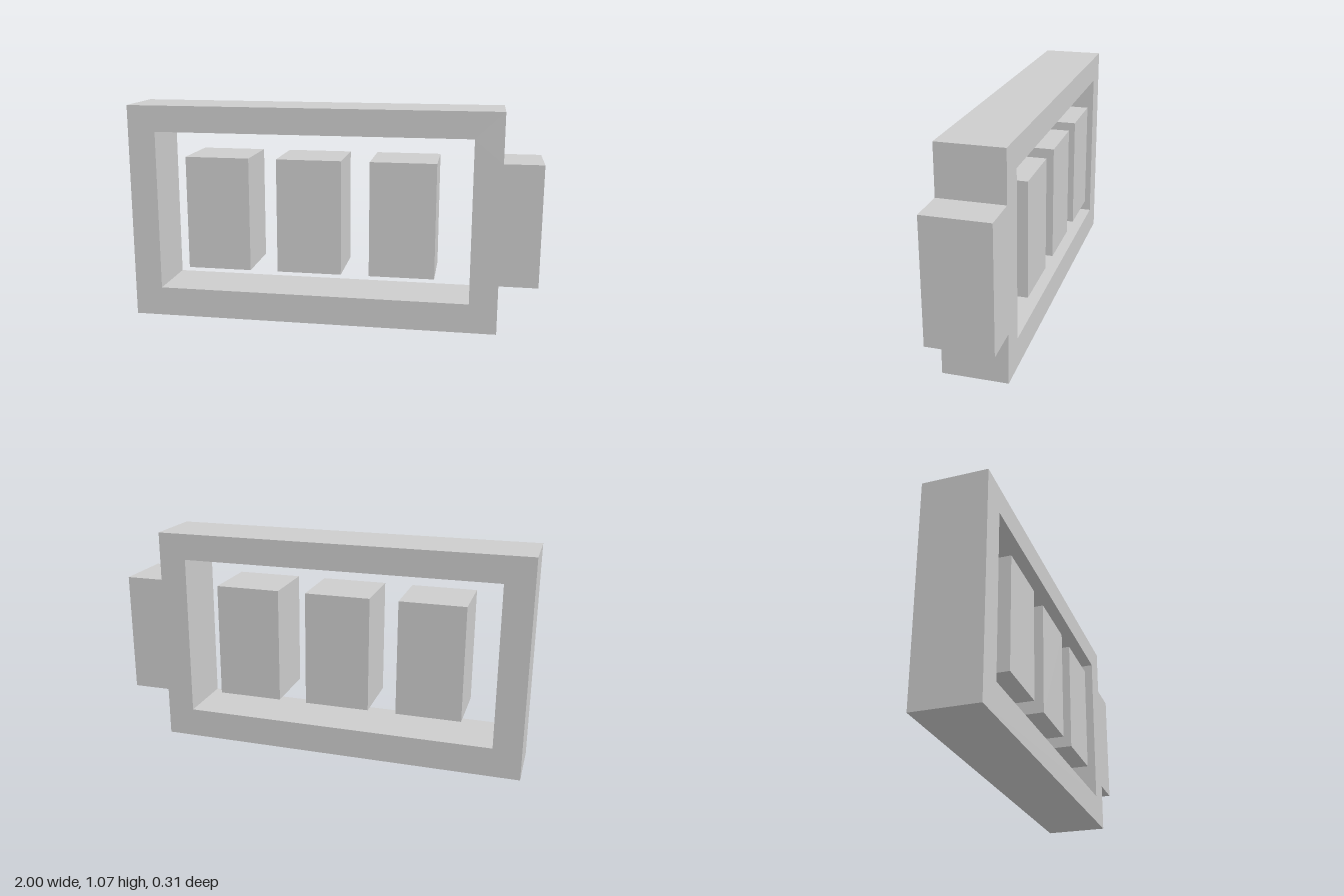
import * as THREE from 'three';

const DEPTH = 0.306;

export function createModel() {
  const group = new THREE.Group();
  const grey = new THREE.MeshStandardMaterial({ color: 0xcccccc });
  grey.name = 'light grey';

  const points = (list) => list.map(([x, y]) => new THREE.Vector2(x, y));

  // Battery casing with terminal nub, extruded around a rectangular window
  const outline = new THREE.Shape(points([
    [-1, 0], [0.815, 0], [0.815, 0.243], [1, 0.243],
    [1, 0.829], [0.815, 0.829], [0.815, 1.068], [-1, 1.068],
  ]));
  outline.holes.push(new THREE.Path(points([
    [-0.863, 0.145], [-0.863, 0.94], [0.68, 0.94], [0.68, 0.145],
  ])));
  const casingGeometry = new THREE.ExtrudeGeometry(outline, { depth: DEPTH, bevelEnabled: false });
  casingGeometry.translate(0, 0, -DEPTH / 2);
  const casing = new THREE.Mesh(casingGeometry, grey);
  casing.name = 'casing';
  group.add(casing);

  // Three charge bars floating in the window
  const barGeometry = new THREE.BoxGeometry(0.316, 0.56, DEPTH);
  for (let i = 0; i < 3; i++) {
    const bar = new THREE.Mesh(barGeometry, grey);
    bar.name = `chargeBar${i + 1}`;
    bar.position.set(-0.552 + i * 0.453, 0.541, 0);
    group.add(bar);
  }

  return group;
}
